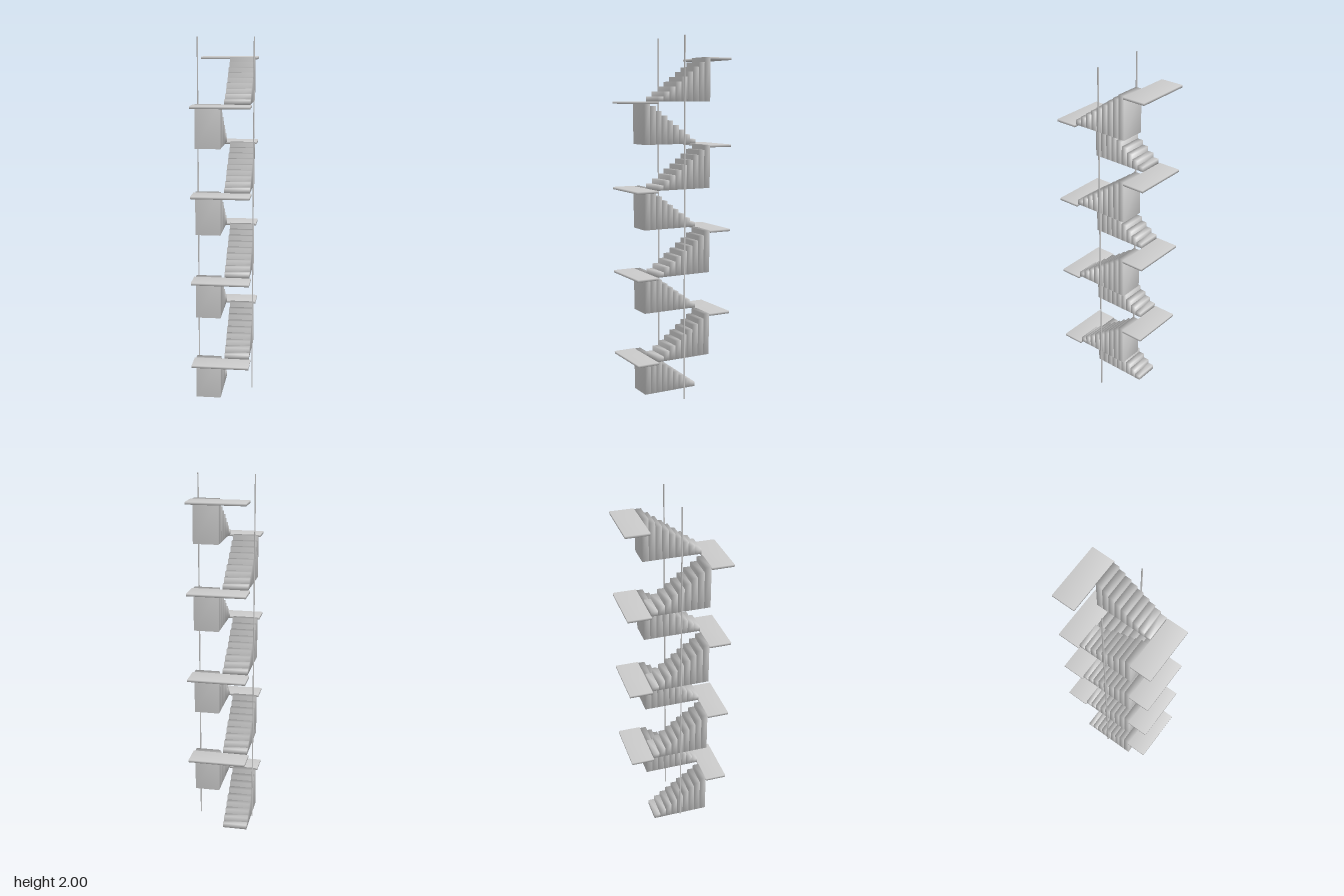
import * as THREE from 'three';
import { mergeVertices } from 'three/addons/utils/BufferGeometryUtils.js';

const material = new THREE.MeshStandardMaterial({ color: 0xcccccc });

const FLIGHTS = 8, STEPS = 9;
const RISE = 0.236;                    // height of one flight
const Z_BACK = -0.159, Z_FRONT = 0.163; // ends of the flights
const TREAD = (Z_FRONT - Z_BACK) / STEPS;

// Box given by its min and max corners, with soft shared corner normals
function block(name, [x0, y0, z0], [x1, y1, z1]) {
  let geo = new THREE.BoxGeometry(x1 - x0, y1 - y0, z1 - z0);
  geo.deleteAttribute('normal');
  geo.deleteAttribute('uv');
  geo = mergeVertices(geo);
  geo.computeVertexNormals();
  const mesh = new THREE.Mesh(geo, material);
  mesh.name = name;
  mesh.position.set((x0 + x1) / 2, (y0 + y1) / 2, (z0 + z1) / 2);
  return mesh;
}

// One flight: solid step columns growing towards the front or the back
function flight(towardsFront, base) {
  const group = new THREE.Group();
  group.name = 'stairFlight';
  const [x0, x1] = towardsFront ? [-0.148, -0.011] : [0.01, 0.147];
  for (let i = 0; i < STEPS; i++) {
    const z = towardsFront ? Z_BACK + i * TREAD : Z_FRONT - (i + 1) * TREAD;
    const top = base + (RISE * (i + 1)) / STEPS;
    group.add(block('step', [x0, base, z], [x1, top, z + TREAD]));
  }
  return group;
}

export function createModel() {
  const model = new THREE.Group();
  model.name = 'switchbackStaircase';

  // Flights alternate sides, each ending in a landing
  for (let f = 0; f < FLIGHTS; f++) {
    const towardsFront = f % 2 === 0;
    const top = (f + 1) * RISE;
    model.add(flight(towardsFront, f * RISE));
    const [z0, z1] = towardsFront ? [Z_FRONT, 0.285] : [-0.288, Z_BACK];
    model.add(block('landing', [-0.157, top - 0.013, z0], [0.156, top, z1]));
  }

  // Thin full-height posts on both sides
  for (const x of [-0.154, 0.153]) {
    model.add(block('post', [x - 0.003, 0, -0.001], [x + 0.003, 2, 0.005]));
  }
  return model;
}
